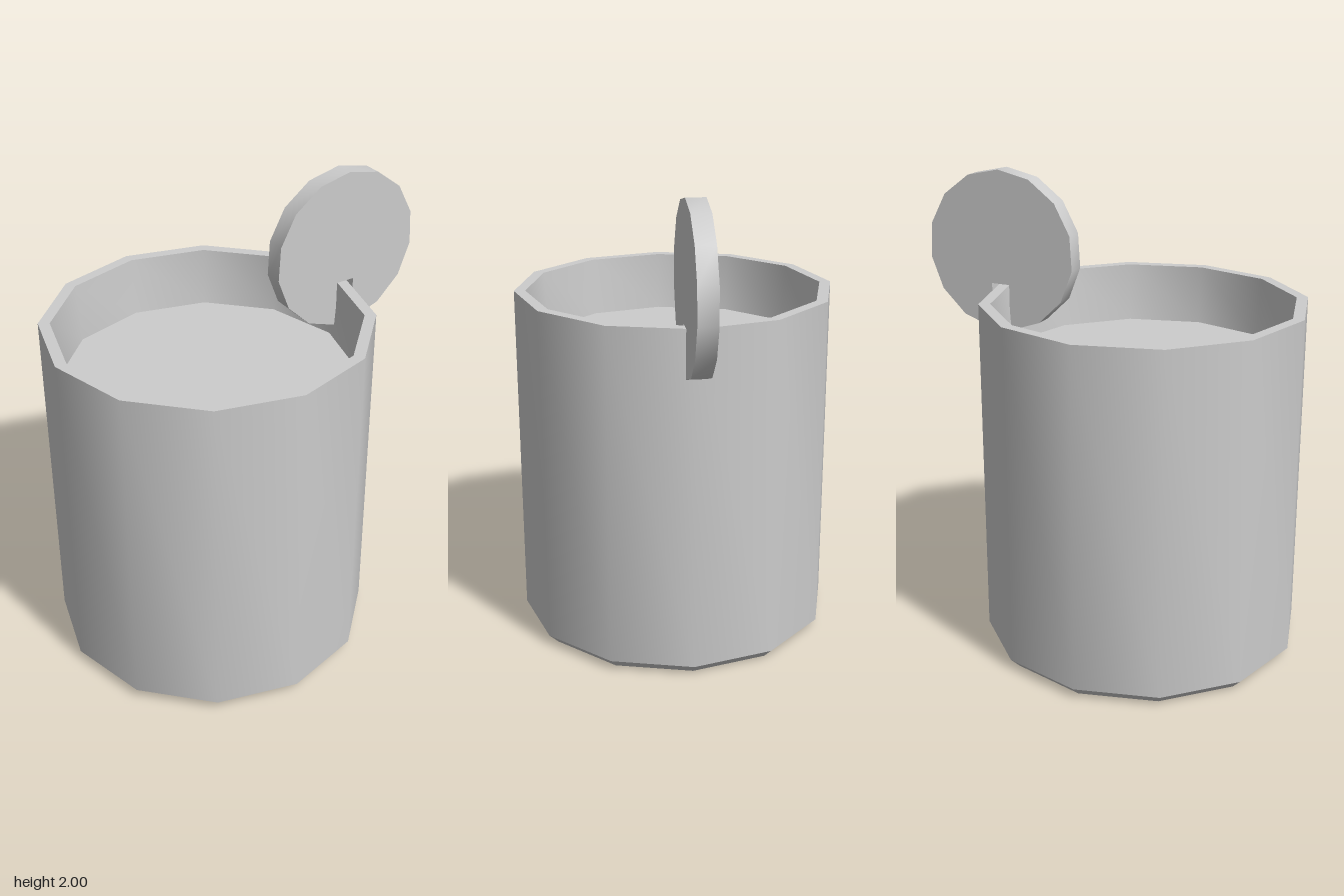
import * as THREE from 'three';
import { toCreasedNormals } from 'three/addons/utils/BufferGeometryUtils.js';

const SIDES = 12;
const CREASE = 0.6;

export function createModel() {
  const model = new THREE.Group();
  const grey = new THREE.MeshStandardMaterial({ color: 0xcccccc });
  grey.name = 'light grey';

  const add = (name, geometry, x, y, z = 0) => {
    const mesh = new THREE.Mesh(geometry, grey);
    mesh.name = name;
    mesh.position.set(x, y, z);
    model.add(mesh);
    return mesh;
  };

  // Glass wall: bevelled foot, straight outside, rim, slightly tapered inside
  const glassX = -0.163;
  const profile = [
    [0.64, 0], [0.683, 0.043], [0.683, 1.503], [0.635, 1.503], [0.617, 1.25],
  ].map(([r, y]) => new THREE.Vector2(r, y));
  add('glassWall', toCreasedNormals(new THREE.LatheGeometry(profile, SIDES), CREASE), glassX, 0);

  // Flat discs closing the foot and the drink
  const disc = (r, facing) => new THREE.CircleGeometry(r, SIDES).rotateX(-facing * Math.PI / 2);
  add('glassBase', disc(0.64, -1), glassX, 0);
  add('drinkSurface', disc(0.617, 1), glassX, 1.25);

  // Fruit slice: a disc with a slit that sits over the rim
  const radius = 0.347, centreY = 1.653, slitHalf = 0.042, slitTop = 1.51 - centreY;
  const gap = Math.asin(slitHalf / radius);
  const steps = 14;
  const outline = [];
  for (let i = 0; i <= steps; i++) {
    const a = -Math.PI / 2 + gap + (i / steps) * (2 * Math.PI - 2 * gap);
    outline.push(new THREE.Vector2(radius * Math.cos(a), radius * Math.sin(a)));
  }
  outline.push(new THREE.Vector2(-slitHalf, slitTop), new THREE.Vector2(slitHalf, slitTop));
  const slice = new THREE.ExtrudeGeometry(new THREE.Shape(outline), { depth: 0.08, bevelEnabled: false });
  add('fruitSlice', toCreasedNormals(slice, CREASE), 0.496, centreY, -0.04);

  return model;
}
